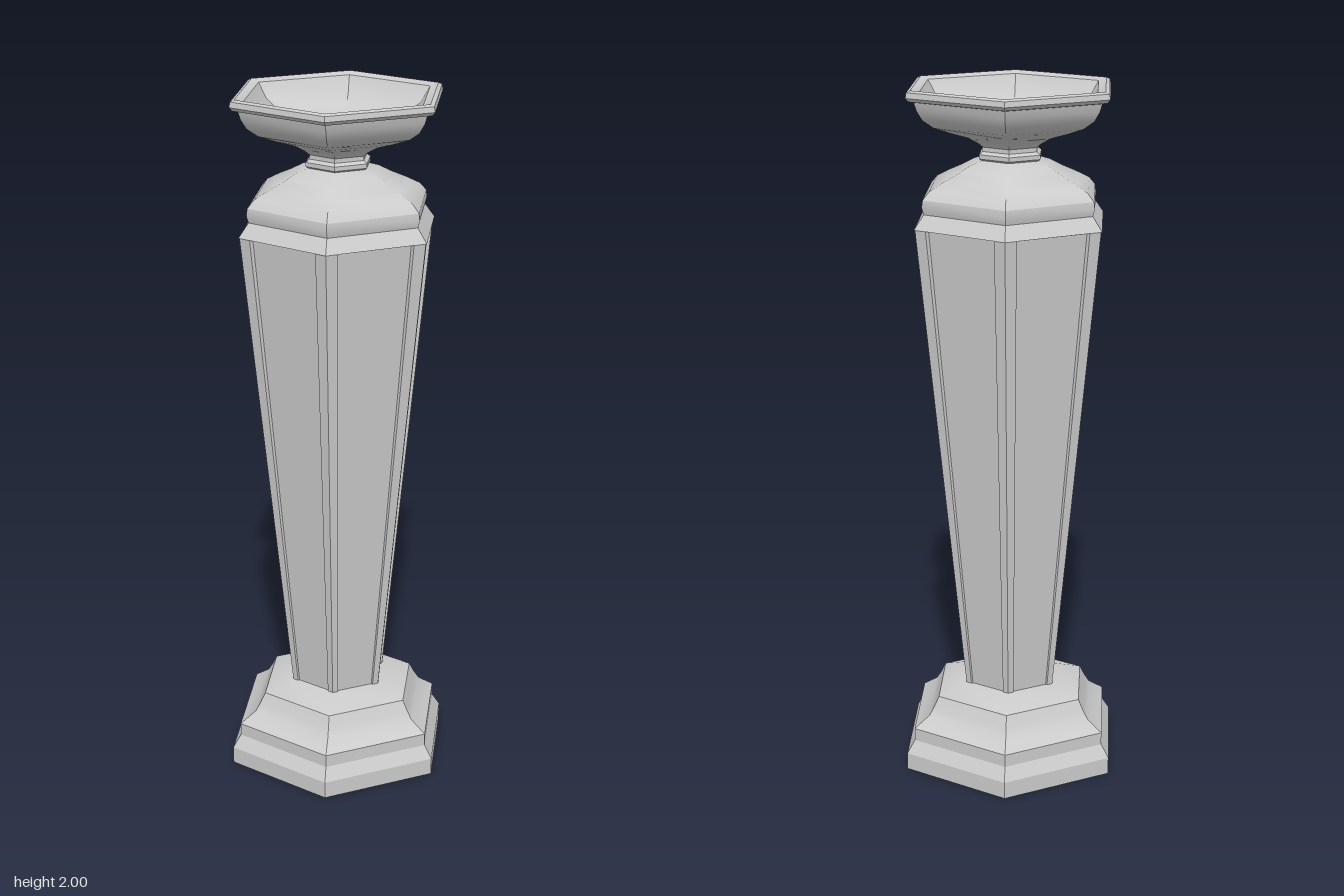
import * as THREE from 'three';
import { toCreasedNormals } from 'three/addons/utils/BufferGeometryUtils.js';

const material = new THREE.MeshStandardMaterial({ color: 0xcccccc });

// Six-sided turned part, corners on the x axis; profile is [radius, height] from bottom to top
function hexTurned(name, profile) {
  const points = profile.map(([r, y]) => new THREE.Vector2(r, y));
  const lathe = new THREE.LatheGeometry(points, 6, Math.PI / 2);
  const mesh = new THREE.Mesh(toCreasedNormals(lathe, 0.5), material);
  mesh.name = name;
  return mesh;
}

// Unit hexagon outline with a shallow recessed panel on each side
function panelledOutline(strip, recess) {
  const outline = [];
  for (let i = 0; i < 6; i++) {
    const a0 = (i * Math.PI) / 3, a1 = a0 + Math.PI / 3, mid = a0 + Math.PI / 6;
    const from = new THREE.Vector2(Math.cos(a0), Math.sin(a0));
    const to = new THREE.Vector2(Math.cos(a1), Math.sin(a1));
    const inward = new THREE.Vector2(-Math.cos(mid), -Math.sin(mid)).multiplyScalar(recess);
    const start = from.clone().lerp(to, strip), end = to.clone().lerp(from, strip);
    outline.push(from, start,
      start.clone().lerp(end, 0.015).add(inward),
      end.clone().lerp(start, 0.015).add(inward), end);
  }
  return outline;
}

// Tapered column skinned between a small and a large outline
function taperedColumn(r0, y0, r1, y1) {
  const outline = panelledOutline(0.12, 0.035);
  const positions = [];
  outline.forEach((p, i) => {
    const q = outline[(i + 1) % outline.length];
    const a = [p.x * r0, y0, p.y * r0], b = [q.x * r0, y0, q.y * r0];
    const c = [q.x * r1, y1, q.y * r1], d = [p.x * r1, y1, p.y * r1];
    positions.push(...a, ...d, ...c, ...a, ...c, ...b);
  });
  const geometry = new THREE.BufferGeometry();
  geometry.setAttribute('position', new THREE.Float32BufferAttribute(positions, 3));
  geometry.computeVertexNormals();
  const mesh = new THREE.Mesh(geometry, material);
  mesh.name = 'column';
  return mesh;
}

export function createModel() {
  const group = new THREE.Group();
  group.name = 'candlestick';

  // Stepped foot
  group.add(hexTurned('base', [
    [0, 0], [0.343, 0], [0.343, 0.05], [0.318, 0.088], [0.318, 0.125],
    [0.27, 0.157], [0.255, 0.18], [0.238, 0.212], [0.15, 0.24], [0, 0.24],
  ]));

  group.add(taperedColumn(0.147, 0.24, 0.294, 1.62));

  // Collar, domed shoulder and pinched neck
  group.add(hexTurned('shoulder', [
    [0, 1.62], [0.297, 1.62], [0.267, 1.66], [0.273, 1.68], [0.27, 1.7],
    [0.25, 1.722], [0.205, 1.745], [0.16, 1.765], [0.122, 1.785], [0.09, 1.795],
    [0.097, 1.8], [0.097, 1.812], [0.086, 1.82], [0.086, 1.832], [0.098, 1.842], [0, 1.842],
  ]));

  // Flared dish with a rim and a hollow inside
  group.add(hexTurned('dish', [
    [0, 1.842], [0.098, 1.842], [0.13, 1.86], [0.185, 1.877], [0.235, 1.895],
    [0.268, 1.918], [0.285, 1.945], [0.292, 1.967], [0.308, 1.97], [0.317, 1.98],
    [0.314, 1.995], [0.302, 2], [0.277, 1.992], [0.25, 1.95], [0.205, 1.92],
    [0.141, 1.902], [0, 1.895],
  ]));

  return group;
}
